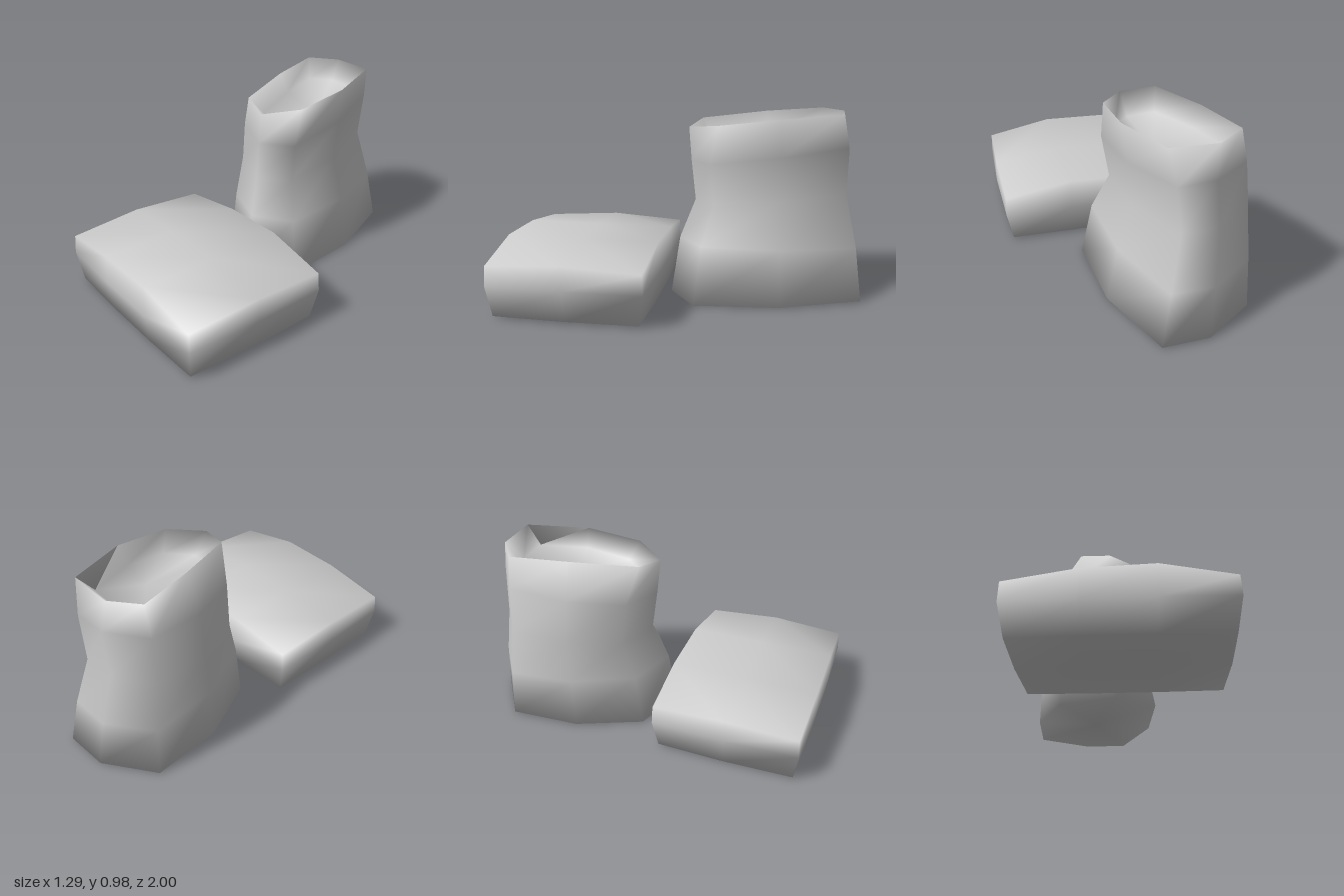
import * as THREE from 'three';
import { mergeVertices } from 'three/addons/utils/BufferGeometryUtils.js';

const material = new THREE.MeshStandardMaterial({ color: 0xcccccc, side: THREE.DoubleSide });

// Eight-cornered outline of the sack as fractions of its box (x, z), back left first, clockwise from above
const OUTLINE = [
  [0.18, 0.07], [0.65, 0], [1, 0.08], [1, 0.52],
  [0.8, 0.94], [0.4, 1], [0.03, 0.8], [0, 0.43],
];

// Ring fitted to a box, with the height running from yBack to yFront
function ring(x0, x1, z0, z1, yBack, yFront) {
  return OUTLINE.map(([u, v]) => [
    x0 + u * (x1 - x0), yBack + v * (yFront - yBack), z0 + v * (z1 - z0),
  ]);
}

// Smooth skin over stacked rings, closed by a centre point at each end
function loft(rings, start, end) {
  const n = rings[0].length;
  const positions = [...rings.flat(2), ...start, ...end];
  const first = rings.length * n, last = first + 1, index = [];
  for (let i = 0; i < n; i++) {
    const j = (i + 1) % n;
    for (let r = 0; r < rings.length - 1; r++) {
      const a = r * n + i, b = r * n + j;
      index.push(a, a + n, b, b, a + n, b + n);
    }
    const top = (rings.length - 1) * n;
    index.push(first, i, j, last, top + j, top + i);
  }
  const geometry = new THREE.BufferGeometry();
  geometry.setAttribute('position', new THREE.Float32BufferAttribute(positions, 3));
  geometry.setIndex(index);
  geometry.computeVertexNormals();
  return geometry;
}

// Upright sack: outer wall up to the rim, then down inside to the sunken filling
function openSack() {
  const rim = [
    [0.02, 0.975, -0.86], [0.19, 0.975, -0.91], [0.405, 0.98, -0.82], [0.4, 0.96, -0.48],
    [0.3, 0.925, -0.19], [0.12, 0.9, -0.08], [-0.02, 0.93, -0.19], [-0.015, 0.96, -0.55],
  ];
  const inner = rim.map(([x, y, z]) => [0.21 + (x - 0.21) * 0.75, y - 0.1, -0.5 + (z + 0.5) * 0.78]);
  const rings = [
    ring(-0.15, 0.49, -1, 0.01, 0.01, 0),
    ring(-0.135, 0.435, -0.98, -0.04, 0.28, 0.3),
    ring(-0.125, 0.36, -0.935, -0.13, 0.56, 0.5),
    ring(-0.1, 0.385, -0.93, -0.1, 0.81, 0.72),
    rim, inner,
  ];
  return loft(rings, [0.17, 0.005, -0.5], [0.24, 0.79, -0.5]);
}

// Lying sack: a box bulged like a pillow, with low corners and raised long edges
function lyingSack() {
  const A = [-0.35, -0.13], B = [0.64, 0.26], D = [-0.64, 0.6];
  let geometry = new THREE.BoxGeometry(2, 2, 2, 3, 2, 2);
  geometry.deleteAttribute('uv');
  geometry.deleteAttribute('normal');
  geometry = mergeVertices(geometry);
  const p = geometry.attributes.position;
  for (let i = 0; i < p.count; i++) {
    const s = p.getX(i), t = p.getZ(i), level = Math.round(p.getY(i));
    const rise = Math.abs(s) > 0.9 ? (Math.abs(t) > 0.9 ? 0.277 : 0.3) : (s > 0 ? 0.34 : 0.327);
    const y = [0.01, 0.175, rise][level + 1];
    // Wall: tucked in at the base, widest halfway up, slightly bowed along the sides
    const spread = [0.95, 1.01, 1][level + 1];
    const u = (s * spread * (1 + 0.02 * (1 - t * t)) + 1) / 2;
    const v = (t * spread * (1 + 0.03 * (1 - s * s)) + 1) / 2;
    p.setXYZ(i,
      A[0] + u * (B[0] - A[0]) + v * (D[0] - A[0]),
      y,
      A[1] + u * (B[1] - A[1]) + v * (D[1] - A[1]));
  }
  geometry.computeVertexNormals();
  return geometry;
}

export function createModel() {
  const group = new THREE.Group();
  group.name = 'sacks';
  for (const [name, geometry] of [['openSack', openSack()], ['lyingSack', lyingSack()]]) {
    const mesh = new THREE.Mesh(geometry, material);
    mesh.name = name;
    group.add(mesh);
  }
  return group;
}
